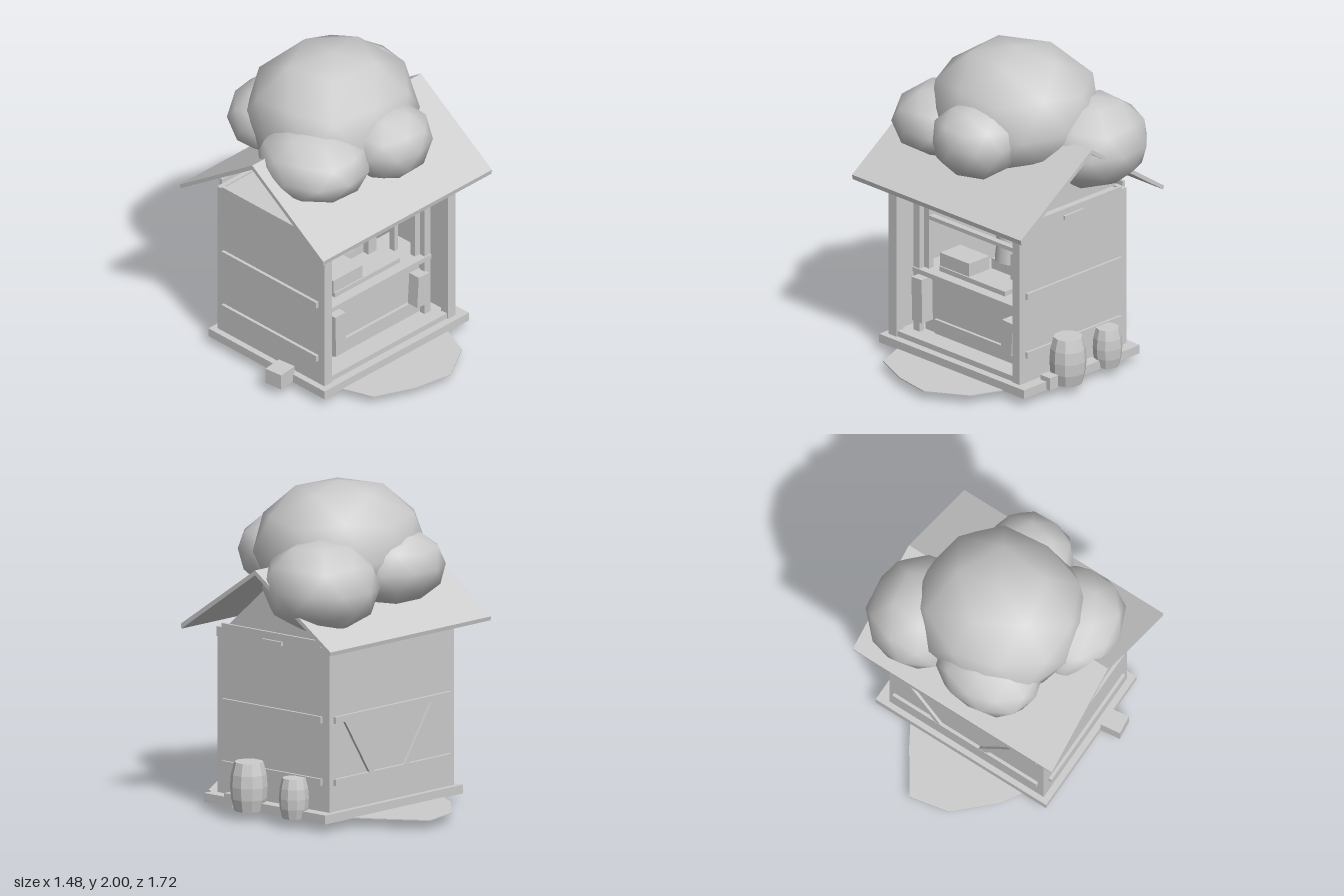
import * as THREE from 'three';
import { mergeVertices } from 'three/addons/utils/BufferGeometryUtils.js';

export function createModel() {
  const root = new THREE.Group();
  root.name = 'marketHut';
  const clay = new THREE.MeshStandardMaterial({ color: 0xcccccc });
  clay.name = 'light grey';

  function add(name, geo, parent = root) {
    const m = new THREE.Mesh(geo, clay);
    m.name = name;
    parent.add(m);
    return m;
  }
  // box given by its limits on each axis
  function box(name, x0, x1, y0, y1, z0, z1) {
    const m = add(name, new THREE.BoxGeometry(x1 - x0, y1 - y0, z1 - z0));
    m.position.set((x0 + x1) / 2, (y0 + y1) / 2, (z0 + z1) / 2);
    return m;
  }
  // flat shape extruded, from a list of 2D points
  function plate(name, pts, depth) {
    const shape = new THREE.Shape(pts.map(p => new THREE.Vector2(p[0], p[1])));
    return add(name, new THREE.ExtrudeGeometry(shape, { depth, bevelEnabled: false }));
  }

  // ground patch, drawn as (x, -z) and laid flat
  const ground = plate('groundPatch', [
    [-0.42, -0.61], [-0.39, -0.7], [-0.14, -0.81], [0.11, -0.855], [0.35, -0.71], [0.5, -0.35],
    [0.58, 0.1], [0.29, 0.59], [0.11, 0.86], [-0.14, 0.81], [-0.37, 0.59], [-0.6, 0.2], [-0.58, -0.2]
  ], 0.006);
  ground.rotation.x = -Math.PI / 2;
  ground.position.y = 0.054;

  // shallow pointed rock under the hut
  const rock = add('undersideRock', new THREE.ConeGeometry(0.18, 0.053, 9));
  rock.rotation.x = Math.PI;
  rock.position.set(-0.03, 0.029, 0.03);

  // base and walls
  box('baseSlab', -0.61, 0.61, 0.055, 0.11, -0.47, 0.51);
  box('floor', -0.54, 0.51, 0.11, 0.135, -0.41, 0.44);
  box('backWall', -0.57, 0.535, 0.11, 1.12, -0.435, -0.405);
  box('rightWall', 0.505, 0.535, 0.11, 1.12, -0.405, 0.47);
  box('leftWall', -0.57, -0.54, 0.11, 1.12, -0.405, 0.47);
  box('ceiling', -0.54, 0.505, 1.08, 1.11, -0.405, 0.45);

  // front posts and head beam
  box('cornerPost', -0.54, -0.505, 0.11, 1.08, 0.41, 0.47);
  box('cornerPost', 0.475, 0.505, 0.11, 1.08, 0.41, 0.47);
  box('headBeam', -0.57, 0.535, 1.06, 1.12, 0.43, 0.475);
  box('sill', -0.505, 0.475, 0.11, 0.145, 0.42, 0.46);

  // bowed cloth sloping back under the head beam
  const valance = plate('valance', [
    [-0.5, 0], [-0.46, -0.2], [-0.25, -0.21], [-0.02, -0.28], [0.22, -0.21], [0.43, -0.19],
    [0.47, 0], [0.22, 0], [-0.02, -0.05], [-0.25, 0]
  ], 0.012);
  valance.rotation.x = 1.3;
  valance.position.set(0, 1.065, 0.43);

  // wall battens: two rows plus a top plate on sides and back
  for (const y of [0.27, 0.65, 1.11]) {
    box('rightBatten', 0.535, 0.552, y, y + 0.04, -0.38, 0.42);
    box('leftBatten', -0.59, -0.57, y, y + 0.04, -0.38, 0.42);
    box('backBatten', -0.53, 0.5, y, y + 0.04, -0.455, -0.435);
  }
  for (const [xTop, xLow] of [[0.4, 0.17], [-0.38, -0.13]]) {
    const dx = xTop - xLow, dy = 0.36;
    const brace = add('backBrace', new THREE.BoxGeometry(0.035, Math.hypot(dx, dy), 0.018));
    brace.position.set((xTop + xLow) / 2, 0.48, -0.444);
    brace.rotation.z = -Math.atan2(dx, dy);
  }
  box('rightBracket', 0.53, 0.55, 1.075, 1.1, -0.06, 0.1);

  // roof slabs, profile in (z, y) swept along x
  function roofPlate(name, pts, x0, x1) {
    const m = plate(name, pts.map(p => [-p[0], p[1]]), x1 - x0);
    m.rotation.y = Math.PI / 2;
    m.position.x = x0;
    return m;
  }
  roofPlate('frontRoof', [[0.02, 1.55], [0.62, 1.14], [0.615, 1.11], [0.02, 1.52]], -0.73, 0.695);
  roofPlate('backRoof', [[0.02, 1.55], [0.02, 1.52], [-0.585, 1.11], [-0.59, 1.135]], -0.73, 0.695);
  roofPlate('gable', [[0.45, 1.12], [-0.41, 1.12], [0.02, 1.5]], 0.44, 0.46);

  // tree crown: coarse smooth balls, swollen towards a box, with separate heights up and down
  const crown = new THREE.Group();
  crown.name = 'treeCrown';
  root.add(crown);
  function foliage(x, y, z, rx, up, down, rz, swell, turn) {
    let geo = new THREE.IcosahedronGeometry(1, 1);
    geo.deleteAttribute('uv');
    geo.deleteAttribute('normal');
    geo = mergeVertices(geo, 1e-3);
    geo.rotateZ(-Math.atan(0.618)).rotateY(turn);
    const pos = geo.attributes.position;
    const v = new THREE.Vector3();
    for (let i = 0; i < pos.count; i++) {
      v.fromBufferAttribute(pos, i);
      const sum = Math.abs(v.x) ** swell + Math.abs(v.y) ** swell + Math.abs(v.z) ** swell;
      v.multiplyScalar(sum ** (-1 / swell));
      pos.setXYZ(i, v.x * rx, v.y * (v.y > 0 ? up : down), v.z * rz);
    }
    geo.computeVertexNormals();
    add('foliageBall', geo, crown).position.set(x, y, z);
  }
  foliage(0, 1.58, -0.035, 0.51, 0.42, 0.32, 0.48, 2.4, 0.2);
  foliage(-0.36, 1.48, 0.17, 0.315, 0.235, 0.195, 0.345, 2.3, 0.5);
  foliage(0.065, 1.54, 0.36, 0.27, 0.215, 0.235, 0.26, 2.3, 0.1);
  foliage(0.41, 1.44, -0.255, 0.335, 0.29, 0.265, 0.35, 2.2, 0.8);
  foliage(-0.13, 1.5, -0.35, 0.33, 0.22, 0.22, 0.27, 2.3, 0.3);

  // flat-sided barrels beside the right wall
  function barrel(x, z, r, h) {
    const pts = [[0, 0], [0.78, 0], [0.95, 0.25], [1, 0.5], [0.95, 0.75], [0.78, 1], [0, 1]]
      .map(p => new THREE.Vector2(p[0] * r, p[1] * h));
    const geo = new THREE.LatheGeometry(pts, 10).toNonIndexed();
    geo.computeVertexNormals();
    add('barrel', geo).position.set(x, 0.058, z);
  }
  barrel(0.616, 0.142, 0.113, 0.297);
  barrel(0.6, -0.208, 0.09, 0.245);

  // small crates at the sides
  box('leftCrate', -0.73, -0.6, 0.06, 0.16, 0.13, 0.25).rotation.y = 0.12;
  box('rightCrate', 0.56, 0.64, 0.06, 0.14, 0.25, 0.32);

  // counter with its front panel
  box('counterTop', -0.47, 0.435, 0.515, 0.545, 0.02, 0.37);
  box('counterPanel', -0.43, 0.4, 0.135, 0.515, 0.27, 0.3);
  box('counterPlinth', -0.335, 0.43, 0.14, 0.23, 0.3, 0.32);
  box('counterRiser', -0.31, 0.24, 0.545, 0.575, 0.0, 0.3);
  box('counterHanger', -0.425, -0.34, 0.23, 0.51, 0.33, 0.42).rotation.z = 0.02;
  box('counterHanger', 0.3, 0.39, 0.23, 0.44, 0.31, 0.39).rotation.z = -0.06;

  // inner frame around the serving hatch
  for (const [x0, x1] of [[-0.47, -0.42], [0.385, 0.435]]) {
    box('innerPost', x0, x1, 0.135, 1.08, 0.32, 0.36);
  }
  for (const [x0, x1] of [[-0.42, -0.38], [0.345, 0.385]]) {
    box('hatchPost', x0, x1, 0.545, 1.08, 0.28, 0.32);
  }
  box('hatchLintel', -0.42, 0.385, 0.865, 0.89, 0.28, 0.32);

  // goods on the counter and shelves behind
  box('counterBox', -0.315, -0.07, 0.575, 0.66, 0.12, 0.29);
  box('counterBox', 0.13, 0.2, 0.575, 0.74, 0.06, 0.14);
  box('potStand', -0.07, 0.13, 0.575, 0.64, -0.06, 0.1);
  box('sideBottle', 0.3, 0.33, 0.545, 0.76, 0.15, 0.19);
  const pot = add('pot', new THREE.CylinderGeometry(0.08, 0.105, 0.25, 12));
  pot.position.set(0.02, 0.765, 0.02);
  for (const y of [0.66, 0.735]) box('shelf', -0.3, 0.3, y, y + 0.02, -0.405, -0.28);
  for (const x of [-0.3, -0.25, 0.28]) box('shelfPost', x, x + 0.025, 0.135, 0.87, -0.3, -0.28);

  return root;
}
